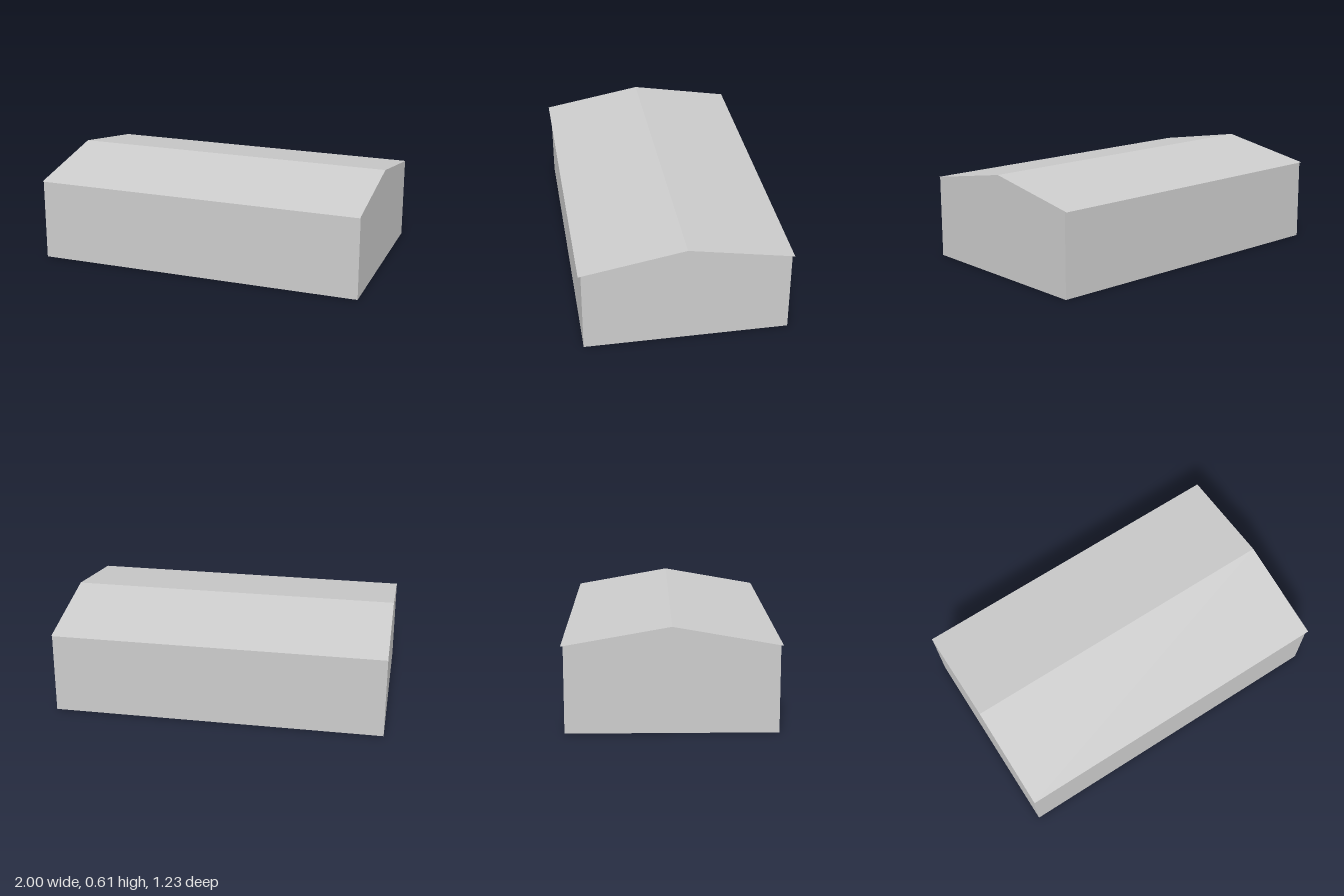
import * as THREE from 'three';

const W = 1, D = 0.6, EAVE = 0.5, RIDGE = 0.606; // half length, half depth, heights
const OVERHANG = 0.015, PROUD = 0.015;

export function createModel() {
  const model = new THREE.Group();
  model.name = 'building';
  const mat = new THREE.MeshStandardMaterial({ color: 0xcccccc, flatShading: true, side: THREE.DoubleSide });

  const add = (name, geometry) => {
    const mesh = new THREE.Mesh(geometry, mat);
    mesh.name = name;
    model.add(mesh);
    return mesh;
  };

  // Gable outline shared by both end walls
  const gable = new THREE.Shape([
    new THREE.Vector2(-D, 0), new THREE.Vector2(D, 0), new THREE.Vector2(D, EAVE),
    new THREE.Vector2(0, RIDGE), new THREE.Vector2(-D, EAVE),
  ]);

  // Panel standing slightly proud of the inside of a long wall or an end wall
  const longPanel = (name, side, x, y, w, h) =>
    add(name, new THREE.BoxGeometry(w, h, PROUD)).position.set(x, y, side * (D - 0.001 - PROUD / 2));
  const endPanel = (name, side, z, y, w, h) =>
    add(name, new THREE.BoxGeometry(PROUD, h, w)).position.set(side * (W - 0.001 - PROUD / 2), y, z);

  const slope = Math.atan2(RIDGE - EAVE, D);
  const run = D + OVERHANG;

  for (const side of [1, -1]) {
    const turn = side > 0 ? 0 : Math.PI;

    // Long wall
    const wall = add(side > 0 ? 'frontWall' : 'backWall', new THREE.PlaneGeometry(2 * W, EAVE));
    wall.position.set(0, EAVE / 2, side * D);
    wall.rotation.y = turn;

    // End wall
    const end = add(side > 0 ? 'leftGableWall' : 'rightGableWall', new THREE.ShapeGeometry(gable));
    end.position.x = side * W;
    end.rotation.y = side * Math.PI / 2;

    // Thin roof sheet running past the wall at the eave
    const sheet = new THREE.PlaneGeometry(2 * W, run / Math.cos(slope));
    sheet.rotateX(-Math.PI / 2 + slope);
    sheet.translate(0, RIDGE - run * Math.tan(slope) / 2, run / 2);
    sheet.rotateY(turn);
    add(side > 0 ? 'frontRoof' : 'backRoof', sheet);

    // Square windows and the high slots between them
    for (const x of [-0.67, 0, 0.67]) longPanel('window', side, x, 0.251, 0.255, 0.252);
    for (const x of [-0.335, 0.335]) longPanel('highWindow', side, x, 0.41, 0.27, 0.072);

    // Window in the end wall
    endPanel('endWindow', side, 0.01, 0.23, 0.155, 0.2);
  }

  // Small hatch near the corner
  longPanel('hatch', 1, -0.9, 0.203, 0.065, 0.06);

  return model;
}
